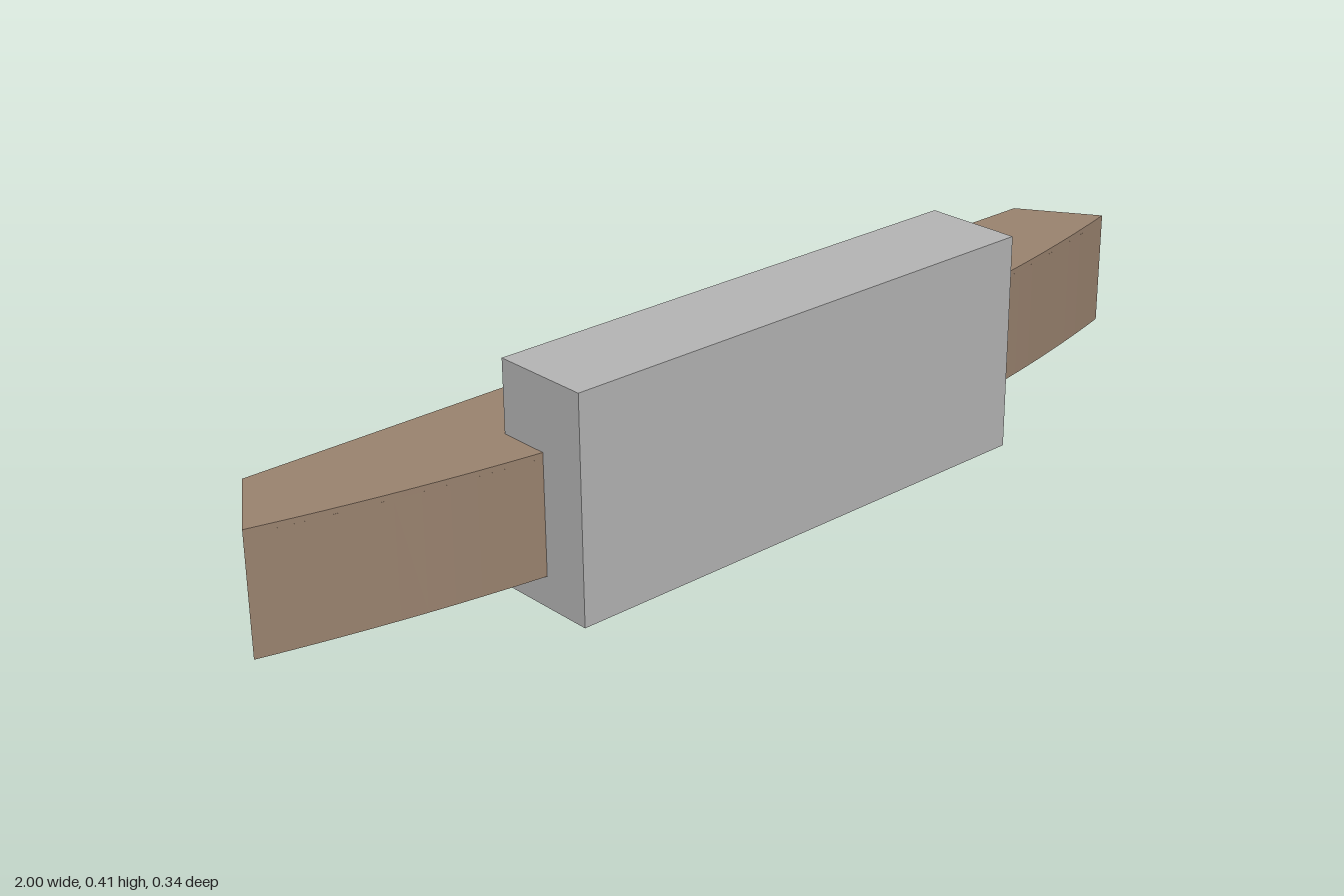
import * as THREE from 'three';

const wood = new THREE.MeshStandardMaterial({ color: 0x9a836f });
wood.name = 'brown wood';
const grey = new THREE.MeshStandardMaterial({ color: 0xb4b4b4 });
grey.name = 'grey panel';

const BOTTOM = 0.058, TOP = 0.28, BACK = -0.168, KNEE = 0.34;
const frontZ = (x) => 0.11 - 0.13 * x * x; // bowed front edge

// box given by its lower and upper corners
function box(parent, name, mat, x0, x1, y0, y1, z0, z1) {
  const mesh = new THREE.Mesh(new THREE.BoxGeometry(Math.abs(x1 - x0), y1 - y0, z1 - z0), mat);
  mesh.position.set((x0 + x1) / 2, (y0 + y1) / 2, (z0 + z1) / 2);
  mesh.name = name;
  parent.add(mesh);
}

// plan outline (x, z) extruded between two heights
function slab(parent, name, points, y0, y1, hole) {
  const shape = new THREE.Shape(points.map(([x, z]) => new THREE.Vector2(x, z)));
  if (hole) shape.holes.push(new THREE.Path(hole.map(([x, z]) => new THREE.Vector2(x, z))));
  const geo = new THREE.ExtrudeGeometry(shape, { depth: y1 - y0, bevelEnabled: false });
  geo.rotateX(Math.PI / 2);
  const mesh = new THREE.Mesh(geo, wood);
  mesh.position.y = y1;
  mesh.name = name;
  parent.add(mesh);
}

// points along the bowed front from x0 to x1
function bow(x0, x1, n) {
  return Array.from({ length: n + 1 }, (_, i) => {
    const x = x0 + ((x1 - x0) * i) / n;
    return [x, frontZ(x)];
  });
}

function cabinet(s) {
  const g = new THREE.Group();
  g.name = s > 0 ? 'leftCabinet' : 'rightCabinet';
  const inset = BACK + 0.014;

  // solid carcass with a bowed front and a slanted end
  const plan = [[KNEE, inset], [0.896, inset], ...bow(1, KNEE, 14)];
  slab(g, 'carcass', plan.map(([x, z]) => [s * x, z]), BOTTOM, TOP - 0.01);

  // frame around the recessed fronts
  box(g, 'innerFrame', wood, s * KNEE, s * (KNEE + 0.01), BOTTOM, TOP - 0.01, BACK, inset);
  box(g, 'bottomFrame', wood, s * KNEE, s * 0.9, BOTTOM, BOTTOM + 0.01, BACK, inset);
  const end = [[0.888, inset], [0.888, BACK], [0.905, BACK], [0.896, inset]];
  slab(g, 'outerFrame', end.map(([x, z]) => [s * x, z]), BOTTOM, TOP - 0.01);

  // three drawers beside two doors
  const y0 = BOTTOM + 0.013, y1 = TOP - 0.013, h = (y1 - y0) / 3;
  for (let i = 0; i < 3; i++) {
    box(g, 'drawer', wood, s * 0.353, s * 0.526, y0 + i * h + 0.002, y0 + (i + 1) * h - 0.002, BACK + 0.004, inset);
  }
  box(g, 'door', wood, s * 0.529, s * 0.706, y0, y1, BACK + 0.004, inset);
  box(g, 'door', wood, s * 0.709, s * 0.885, y0, y1, BACK + 0.004, inset);

  // foot block inside the shell
  box(g, 'foot', wood, s * KNEE, s * 0.495, 0, BOTTOM, -0.01, 0.155);
  return g;
}

function shell() {
  const g = new THREE.Group();
  g.name = 'frontShell';
  box(g, 'frontPanel', grey, -0.505, 0.505, 0, 0.413, 0.16, 0.17);
  box(g, 'topPanel', grey, -0.505, 0.505, 0.403, 0.413, -0.02, 0.16);
  // brown lining behind the grey faces
  box(g, 'topLining', wood, -0.495, 0.495, 0.395, 0.403, -0.015, 0.1);
  box(g, 'rearLining', wood, -0.495, 0.495, TOP, 0.395, 0.085, 0.1);
  for (const s of [-1, 1]) {
    box(g, 'sidePanel', grey, s * 0.495, s * 0.505, 0, 0.403, -0.02, 0.16);
    box(g, 'sideLining', wood, s * 0.487, s * 0.495, TOP, 0.395, -0.015, 0.085);
  }
  return g;
}

export function createModel() {
  const model = new THREE.Group();
  model.name = 'receptionDesk';

  // desktop with a rectangular recess for the work surface
  const outline = [[-0.905, BACK], [0.905, BACK], ...bow(1, -1, 32)];
  const recess = [[-KNEE, -0.06], [-KNEE, 0.08], [KNEE, 0.08], [KNEE, -0.06]];
  slab(model, 'desktop', outline, TOP - 0.01, TOP, recess);

  // open compartments under the desktop above the kneehole
  box(model, 'workShelf', wood, -KNEE, KNEE, 0.24, 0.248, BACK, 0.085);
  box(model, 'compartmentBack', wood, -KNEE, KNEE, 0.248, 0.27, -0.068, -0.06);
  for (const x of [-KNEE / 3, KNEE / 3]) {
    box(model, 'divider', wood, x - 0.004, x + 0.004, 0.248, 0.27, BACK, -0.068);
  }
  box(model, 'kneePanel', wood, -KNEE, KNEE, BOTTOM, TOP, 0.08, 0.095);

  model.add(cabinet(1), cabinet(-1), shell());
  return model;
}
